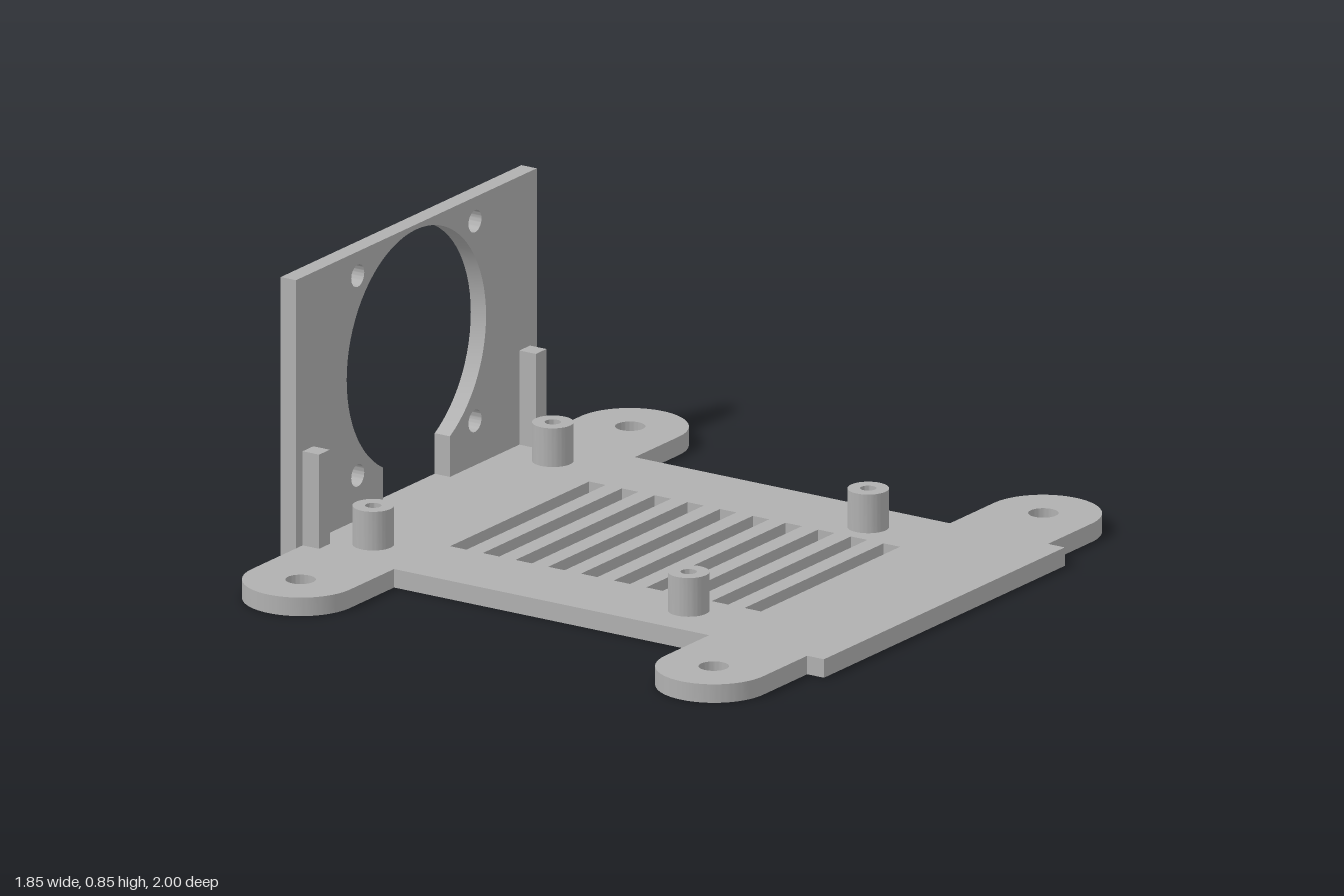
import * as THREE from 'three';
import { toCreasedNormals } from 'three/addons/utils/BufferGeometryUtils.js';

const T = 0.055; // plate thickness
const WALL_X = -0.873; // inner face of the fan wall

const circle = (x, y, r) => new THREE.Path().absarc(x, y, r, 0, Math.PI * 2, true);

function extrude(shape, depth) {
  const g = new THREE.ExtrudeGeometry(shape, { depth, bevelEnabled: false, curveSegments: 32 });
  return toCreasedNormals(g, 0.6);
}

export function createModel() {
  const group = new THREE.Group();
  const grey = new THREE.MeshStandardMaterial({ color: 0xb0b0b0 });
  grey.name = 'grey plastic';
  const add = (name, geometry) => {
    const mesh = new THREE.Mesh(geometry, grey);
    mesh.name = name;
    group.add(mesh);
    return mesh;
  };

  const standoffs = [];
  for (const x of [-0.714, 0.36]) for (const z of [-0.455, 0.455]) standoffs.push([x, z]);

  // Base plate with four rounded mounting ears, drawn with shape y = -z
  const R = 0.167, earX = [-0.706, 0.701], earZ = 0.833, side = 0.61;
  const base = new THREE.Shape();
  base.absarc(earX[0], -earZ, R, Math.PI, Math.PI * 2);
  base.lineTo(earX[0] + R, -side);
  base.lineTo(earX[1] - R, -side);
  base.absarc(earX[1], -earZ, R, Math.PI, Math.PI * 2);
  base.lineTo(earX[1] + R, -side);
  base.lineTo(0.925, -side);
  base.lineTo(0.925, side);
  base.lineTo(earX[1] + R, side);
  base.absarc(earX[1], earZ, R, 0, Math.PI);
  base.lineTo(earX[1] - R, side);
  base.lineTo(earX[0] + R, side);
  base.absarc(earX[0], earZ, R, 0, Math.PI);
  base.closePath();

  // Ear holes, standoff holes and ventilation slots
  for (const x of earX) for (const s of [-1, 1]) base.holes.push(circle(x, s * 0.835, 0.043));
  for (const [x, z] of standoffs) base.holes.push(circle(x, -z, 0.023));
  for (let i = 0; i < 10; i++) {
    const x0 = -0.523 + i * 0.1114, x1 = x0 + 0.056;
    base.holes.push(new THREE.Path([
      new THREE.Vector2(x0, -0.35), new THREE.Vector2(x0, 0.355),
      new THREE.Vector2(x1, 0.355), new THREE.Vector2(x1, -0.35),
      new THREE.Vector2(x0, -0.35),
    ]));
  }
  add('basePlate', extrude(base, T).rotateX(-Math.PI / 2));

  // Hollow board standoffs
  for (const [x, z] of standoffs) {
    const ring = new THREE.Shape().absarc(0, 0, 0.059, 0, Math.PI * 2);
    ring.holes.push(circle(0, 0, 0.023));
    add('standoff', extrude(ring, 0.17 - T).rotateX(-Math.PI / 2)).position.set(x, T, z);
  }

  // Fan wall: shape x runs along z, with a keyhole opening and four screw holes
  const wall = new THREE.Shape([
    new THREE.Vector2(-side, 0), new THREE.Vector2(side, 0),
    new THREE.Vector2(side, 0.853), new THREE.Vector2(-side, 0.853),
  ]);
  const fanY = 0.485, fanR = 0.353, gap = 0.17;
  const a = Math.acos(gap / fanR);
  const opening = new THREE.Path();
  opening.moveTo(-gap, T);
  opening.lineTo(gap, T);
  opening.absarc(0, fanY, fanR, -a, Math.PI + a);
  opening.lineTo(-gap, T);
  wall.holes.push(opening);
  for (const z of [-0.297, 0.297]) for (const y of [0.187, 0.781]) wall.holes.push(circle(z, y, 0.033));
  add('fanWall', extrude(wall, 0.925 + WALL_X).rotateY(-Math.PI / 2)).position.x = WALL_X;

  // Small posts bracing the wall
  const postH = 0.335 - T;
  for (const s of [-1, 1]) {
    add('bracePost', new THREE.BoxGeometry(0.056, postH, 0.054))
      .position.set(WALL_X + 0.028, T + postH / 2, s * 0.549);
  }
  return group;
}
